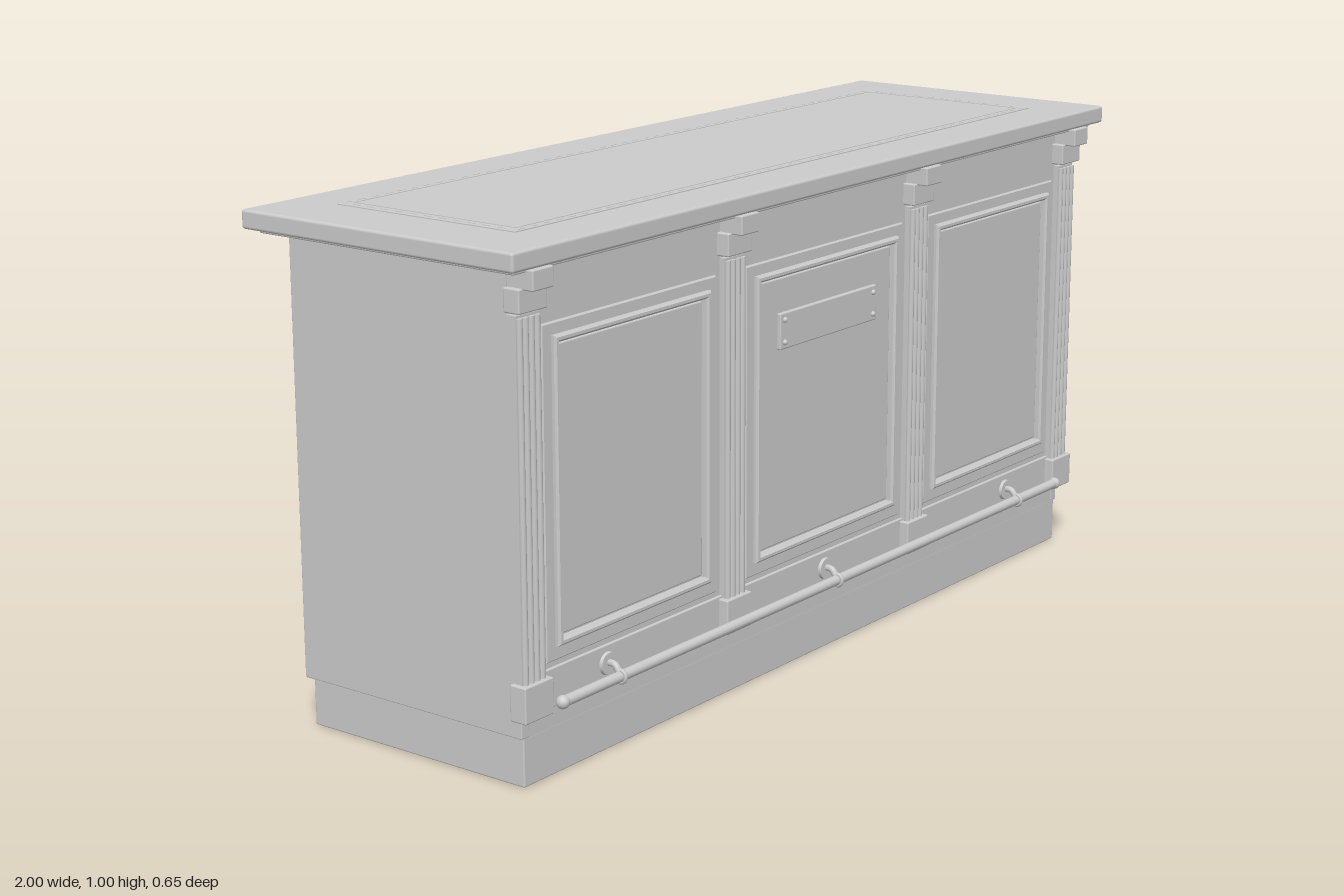
import * as THREE from 'three';
import { RoundedBoxGeometry } from 'three/addons/geometries/RoundedBoxGeometry.js';

const grey = new THREE.MeshStandardMaterial({ color: 0xcccccc });
const bookMats = [0x1b2440, 0x5c161c, 0x1a3a26, 0x40301c, 0x7a3b1a, 0x24262b]
  .map((color) => new THREE.MeshStandardMaterial({ color }));

function add(parent, name, geometry, material = grey) {
  const mesh = new THREE.Mesh(geometry, material);
  mesh.name = name;
  parent.add(mesh);
  return mesh;
}

// Box given by its limits on each axis; r rounds its edges.
function box(parent, name, [x0, x1], [y0, y1], [z0, z1], r = 0, material = grey) {
  const w = x1 - x0, h = y1 - y0, d = z1 - z0;
  const geo = r ? new RoundedBoxGeometry(w, h, d, 2, r) : new THREE.BoxGeometry(w, h, d);
  const mesh = add(parent, name, geo, material);
  mesh.position.set((x0 + x1) / 2, (y0 + y1) / 2, (z0 + z1) / 2);
  return mesh;
}

function group(parent, name) {
  const g = new THREE.Group();
  g.name = name;
  parent.add(g);
  return g;
}

// Bevelled rectangular picture-frame moulding standing on a plane of constant z.
function moulding(parent, name, x0, x1, y0, y1, z, width, depth) {
  const rect = (s, i) => {
    s.moveTo(x0 + i, y0 + i);
    s.lineTo(x1 - i, y0 + i);
    s.lineTo(x1 - i, y1 - i);
    s.lineTo(x0 + i, y1 - i);
    s.closePath();
    return s;
  };
  const b = Math.min(width, depth) * 0.3;
  const shape = rect(new THREE.Shape(), b);
  shape.holes.push(rect(new THREE.Path(), width - b));
  const geo = new THREE.ExtrudeGeometry(shape, {
    depth: depth - b, bevelEnabled: true, bevelThickness: b, bevelSize: b, bevelSegments: 1,
  });
  add(parent, name, geo).position.z = z;
}

// Bow handle with a label holder below, facing -z.
function handleAndLabel(parent, x, y, z, s) {
  const pts = [[-0.062, 0, 0], [-0.058, 0, -0.018], [-0.03, -0.006, -0.021],
    [0.03, -0.006, -0.021], [0.058, 0, -0.018], [0.062, 0, 0]]
    .map(([a, b, c]) => new THREE.Vector3(a * s, b * s, c * s));
  const bow = new THREE.TubeGeometry(new THREE.CatmullRomCurve3(pts), 24, 0.0055 * s, 8);
  add(parent, 'handle', bow).position.set(x, y, z);
  for (const e of [-1, 1]) {
    const rose = add(parent, 'handleRose', new THREE.CylinderGeometry(0.01 * s, 0.012 * s, 0.005, 12));
    rose.rotation.x = -Math.PI / 2;
    rose.position.set(x + e * 0.062 * s, y, z - 0.002);
  }
  const ly = y - 0.085 * s;
  box(parent, 'labelHolder', [x - 0.042 * s, x + 0.042 * s], [ly - 0.014 * s, ly + 0.014 * s], [z - 0.004, z + 0.002], 0.0015);
}

let seed = 7;
const rnd = () => (seed = (seed * 16807) % 2147483647) / 2147483647;

// Row of upright books from xa towards xb; height runs from ha to hb.
function bookRow(parent, name, xa, xb, y, ha, hb) {
  const row = group(parent, name), dir = Math.sign(xb - xa);
  let x = xa, last = -1;
  while (Math.abs(xb - x) > 0.02) {
    const w = Math.min(0.03 + rnd() * 0.022, Math.abs(xb - x));
    const t = (x - xa) / (xb - xa);
    const h = ha + (hb - ha) * t + (rnd() - 0.5) * 0.05;
    let c = Math.floor(rnd() * bookMats.length);
    if (c === last) c = (c + 1) % bookMats.length;
    last = c;
    const nx = x + dir * w, z0 = -0.245 + rnd() * 0.012;
    box(row, 'book', [Math.min(x, nx) + 0.001, Math.max(x, nx) - 0.001], [y, y + h], [z0, z0 + 0.19 + rnd() * 0.02], 0.004, bookMats[c]);
    x = nx;
  }
}

export function createModel() {
  const model = new THREE.Group();
  model.name = 'counterDesk';

  // Plinth and open-backed carcass
  box(model, 'plinth', [-0.93, 0.93], [0, 0.095], [-0.253, 0.27], 0.003);
  box(model, 'bottomBoard', [-0.935, 0.935], [0.093, 0.115], [-0.268, 0.27]);
  box(model, 'frontBoard', [-0.93, 0.93], [0.1, 0.955], [0.25, 0.27]);
  for (const s of [-1, 1]) {
    const limits = (a, b) => (s > 0 ? [a, b] : [-b, -a]);
    box(model, 'sidePanel', limits(0.915, 0.936), [0.094, 0.958], [-0.27, 0.271], 0.002);
    box(model, 'divider', limits(0.312, 0.332), [0.11, 0.958], [-0.268, 0.26]);
    box(model, 'shelf', limits(0.33, 0.918), [0.497, 0.522], [-0.265, 0.255], 0.002);
  }

  // Worktop with inset writing surface and stitched border
  box(model, 'worktopMoulding', [-0.975, 0.975], [0.954, 0.966], [-0.305, 0.305], 0.003);
  box(model, 'worktop', [-1, 1], [0.963, 1], [-0.325, 0.325], 0.006);
  box(model, 'writingSurface', [-0.865, 0.865], [0.99, 1.0025], [-0.215, 0.215], 0.001);
  const border = group(model, 'stitchedBorder');
  for (const s of [-1, 1]) {
    box(border, 'borderLine', [-0.84, 0.84], [1, 1.0035], [s * 0.195 - 0.002, s * 0.195 + 0.002]);
    box(border, 'borderLine', [s * 0.84 - 0.002, s * 0.84 + 0.002], [1, 1.0035], [-0.195, 0.195]);
    for (let i = -24; i <= 24; i++)
      box(border, 'stitch', [i * 0.035 - 0.008, i * 0.035 + 0.008], [1, 1.0032], [s * 0.208 - 0.0015, s * 0.208 + 0.0015]);
    for (let i = -5; i <= 5; i++)
      box(border, 'stitch', [s * 0.855 - 0.0015, s * 0.855 + 0.0015], [1, 1.0032], [i * 0.035 - 0.008, i * 0.035 + 0.008]);
  }

  // Fluted pilasters with stepped capitals and base blocks
  for (const x of [-0.915, -0.317, 0.317, 0.915]) {
    const p = group(model, 'pilaster');
    p.position.x = x;
    box(p, 'shaft', [-0.03, 0.03], [0.13, 0.875], [0.26, 0.282]);
    for (let i = 0; i < 4; i++) {
      const reed = add(p, 'reed', new THREE.CylinderGeometry(0.0062, 0.0062, 0.67, 10));
      reed.position.set((i - 1.5) * 0.0155, 0.535, 0.284);
    }
    box(p, 'capital', [-0.038, 0.038], [0.88, 0.925], [0.26, 0.297], 0.003);
    box(p, 'upperCapital', [-0.028, 0.028], [0.922, 0.96], [0.26, 0.321], 0.003);
    box(p, 'baseBlock', [-0.039, 0.039], [0.133, 0.203], [0.26, 0.297], 0.003);
  }

  // Front panels: outer frame, inner moulding, raised field
  for (const [a, b] of [[-0.87, -0.365], [-0.27, 0.27], [0.365, 0.87]]) {
    const p = group(model, 'frontPanel');
    moulding(p, 'panelFrame', a, b, 0.22, 0.845, 0.268, 0.03, 0.008);
    moulding(p, 'panelMoulding', a + 0.025, b - 0.025, 0.247, 0.822, 0.268, 0.014, 0.018);
    box(p, 'panelField', [a + 0.043, b - 0.043], [0.265, 0.804], [0.262, 0.275], 0.003);
  }
  box(model, 'bottomRail', [-0.885, 0.885], [0.133, 0.208], [0.262, 0.276], 0.002);

  // Blank plaque with corner screws
  const plaque = group(model, 'plaque');
  box(plaque, 'plaquePlate', [-0.167, 0.167], [0.662, 0.735], [0.27, 0.283], 0.003);
  for (const x of [-0.153, 0.153]) for (const y of [0.676, 0.721]) {
    const screw = add(plaque, 'screw', new THREE.SphereGeometry(0.006, 10, 6));
    screw.position.set(x, y, 0.283);
  }

  // Foot rail carried on ring brackets
  const rail = group(model, 'footRail');
  const bar = add(rail, 'bar', new THREE.CylinderGeometry(0.0105, 0.0105, 1.73, 16));
  bar.rotation.z = Math.PI / 2;
  bar.position.set(0, 0.154, 0.308);
  for (const s of [-1, 1])
    add(rail, 'barEnd', new THREE.SphereGeometry(0.013, 14, 10)).position.set(s * 0.865, 0.154, 0.308);
  for (const x of [-0.7, 0, 0.7]) {
    const plate = add(rail, 'bracketPlate', new THREE.CylinderGeometry(0.021, 0.023, 0.008, 20));
    plate.rotation.x = Math.PI / 2;
    plate.position.set(x, 0.173, 0.278);
    const arm = new THREE.CatmullRomCurve3([
      new THREE.Vector3(x, 0.175, 0.275), new THREE.Vector3(x, 0.174, 0.295), new THREE.Vector3(x, 0.156, 0.308)]);
    add(rail, 'bracketArm', new THREE.TubeGeometry(arm, 10, 0.007, 8));
    const ring = add(rail, 'bracketRing', new THREE.TorusGeometry(0.012, 0.004, 8, 20));
    ring.rotation.y = Math.PI / 2;
    ring.position.set(x, 0.154, 0.308);
  }

  // Drawer stack at the back
  for (let i = 0; i < 3; i++) {
    const d = group(model, 'drawer'), y = 0.122 + i * 0.28;
    box(d, 'drawerFront', [-0.315, 0.315], [y, y + 0.272], [-0.279, -0.262], 0.005);
    box(d, 'drawerBox', [-0.3, 0.3], [y + 0.01, y + 0.25], [-0.265, 0.2]);
    handleAndLabel(d, 0, y + 0.185, -0.279, 1);
  }

  // Books and storage box
  bookRow(model, 'upperBooks', -0.375, -0.895, 0.522, 0.32, 0.25);
  bookRow(model, 'lowerBooks', -0.375, -0.895, 0.115, 0.28, 0.18);
  bookRow(model, 'sideBooks', 0.68, 0.35, 0.115, 0.27, 0.23);
  const stack = group(model, 'bookStack');
  [2, 1, 2, 0, 0].forEach((c, i) => {
    const b = box(stack, 'flatBook', [0.375, 0.56], [0.522 + i * 0.025, 0.546 + i * 0.025], [-0.18, 0.07], 0.003, bookMats[c]);
    b.rotation.y = [0.02, -0.03, 0.04, -0.06, 0.08][i];
  });
  const storage = group(model, 'storageBox');
  box(storage, 'boxBody', [0.645, 0.875], [0.522, 0.69], [-0.238, 0.05], 0.002);
  box(storage, 'boxLid', [0.641, 0.879], [0.67, 0.717], [-0.242, 0.054], 0.003);
  handleAndLabel(storage, 0.76, 0.635, -0.238, 0.6);
  return model;
}
